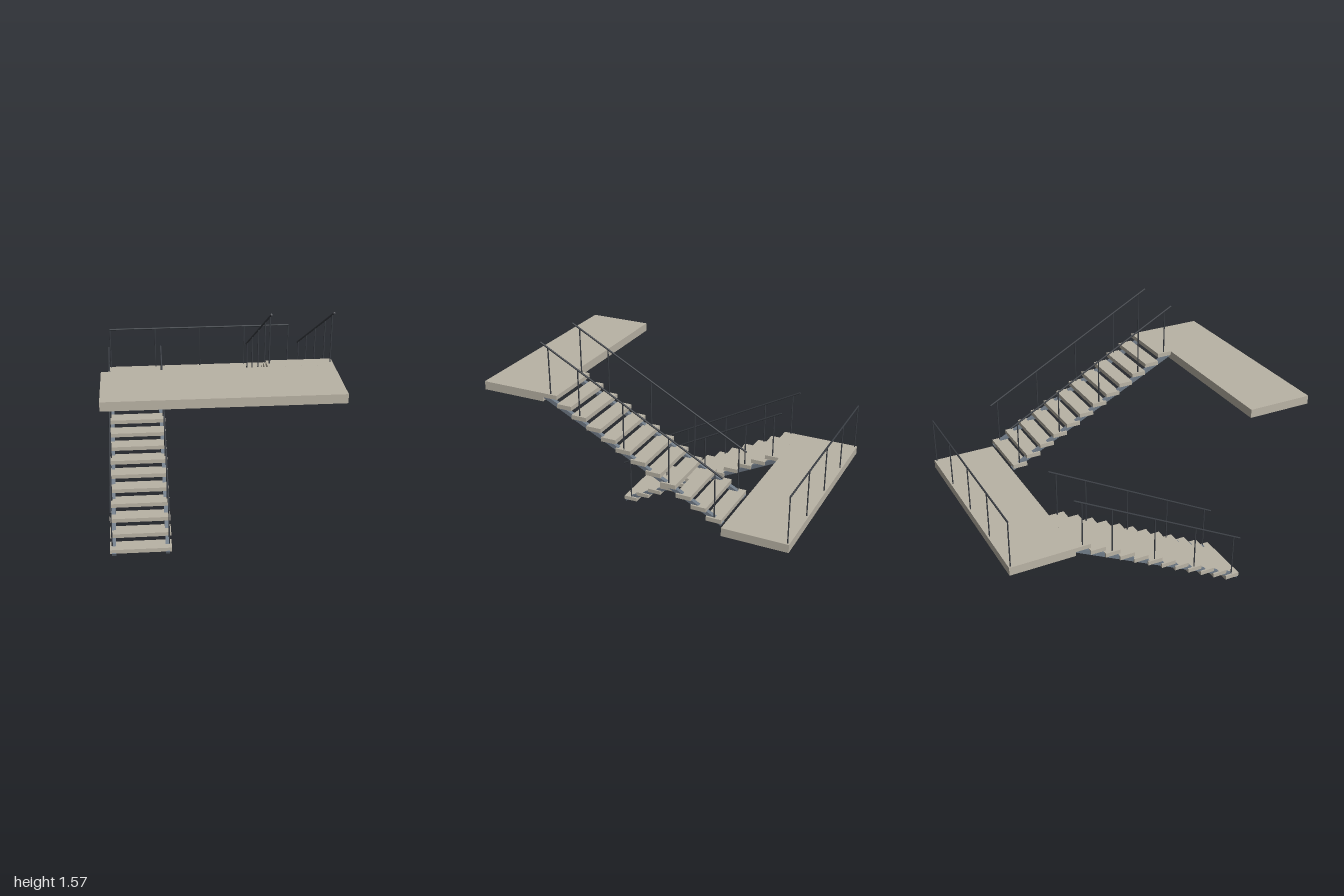
import * as THREE from 'three';

const STEPS = 12;
const RISE = 0.0523;
const RUN = 0.584; // half the flight length in z
const DEPTH = (2 * RUN) / STEPS;
const concrete = new THREE.MeshStandardMaterial({ color: 0xb9b3a5 });
const steel = new THREE.MeshStandardMaterial({ color: 0x6f7a86 });
const darkSteel = new THREE.MeshStandardMaterial({ color: 0x3a3e44 });

function box(name, w, h, d, x, y, z, material) {
  const mesh = new THREE.Mesh(new THREE.BoxGeometry(w, h, d), material);
  mesh.name = name;
  mesh.position.set(x, y, z);
  return mesh;
}

// Round bar between two points
function bar(name, a, b, radius) {
  const dir = b.clone().sub(a);
  const mesh = new THREE.Mesh(new THREE.CylinderGeometry(radius, radius, dir.length(), 10), darkSteel);
  mesh.name = name;
  mesh.position.copy(a).add(b).multiplyScalar(0.5);
  mesh.quaternion.setFromUnitVectors(new THREE.Vector3(0, 1, 0), dir.normalize());
  return mesh;
}

const vec = (x, y, z) => new THREE.Vector3(x, y, z);

// One flight centred on x = 0, rising towards -z from height 0
function flight(name) {
  const group = new THREE.Group();
  group.name = name;
  const stepZ = (i) => RUN - (i + 0.5) * DEPTH;

  for (let i = 0; i < STEPS; i++) {
    group.add(box('tread', 0.386, 0.027, DEPTH, 0, (i + 1) * RISE - 0.0135, stepZ(i), concrete));
  }

  const railY = (z) => 0.318 + ((RUN - z) / DEPTH) * RISE;
  const low = 0.0165, high = 0.604;
  const length = Math.hypot(2 * RUN, high - low);
  for (const side of [-1, 1]) {
    // Sloping stringer under the treads
    const stringer = box('stringer', 0.026, 0.025, length, side * 0.168, (low + high) / 2, 0, steel);
    stringer.rotation.x = Math.atan2(high - low, 2 * RUN);
    group.add(stringer);

    // Handrail with posts standing on the treads
    const x = side * 0.179;
    group.add(bar('handrail', vec(x, railY(RUN), RUN), vec(x, railY(-RUN), -RUN), 0.0055));
    for (const i of [0, 3, 6, 9, 11]) {
      const z = stepZ(i);
      group.add(bar('railPost', vec(x, (i + 1) * RISE, z), vec(x, railY(z), z), 0.004));
    }
  }
  return group;
}

export function createModel() {
  const model = new THREE.Group();
  model.name = 'staircase';

  // Two flights running in opposite directions
  const lower = flight('lowerFlight');
  lower.position.set(-0.479, -0.0045, 0);
  const upper = flight('upperFlight');
  upper.position.set(0.479, 0.623, 0);
  upper.rotation.y = Math.PI;
  model.add(lower, upper);

  // Landings
  const depth = 1 - RUN, mid = (1 + RUN) / 2;
  model.add(box('middleLanding', 1.344, 0.054, depth, 0, 0.596, -mid, concrete));
  model.add(box('upperLanding', 1.344, 0.054, depth, 0, 1.2235, mid, concrete));

  // Guard rail along the back of the middle landing
  const guard = new THREE.Group();
  guard.name = 'landingGuard';
  const z = -0.987, top = 0.923;
  guard.add(bar('guardRail', vec(-0.661, top, z), vec(0.661, top, z), 0.0055));
  for (let i = -2; i <= 2; i++) {
    guard.add(bar('guardPost', vec(i * 0.329, 0.623, z), vec(i * 0.329, top, z), 0.004));
  }
  model.add(guard);
  return model;
}
